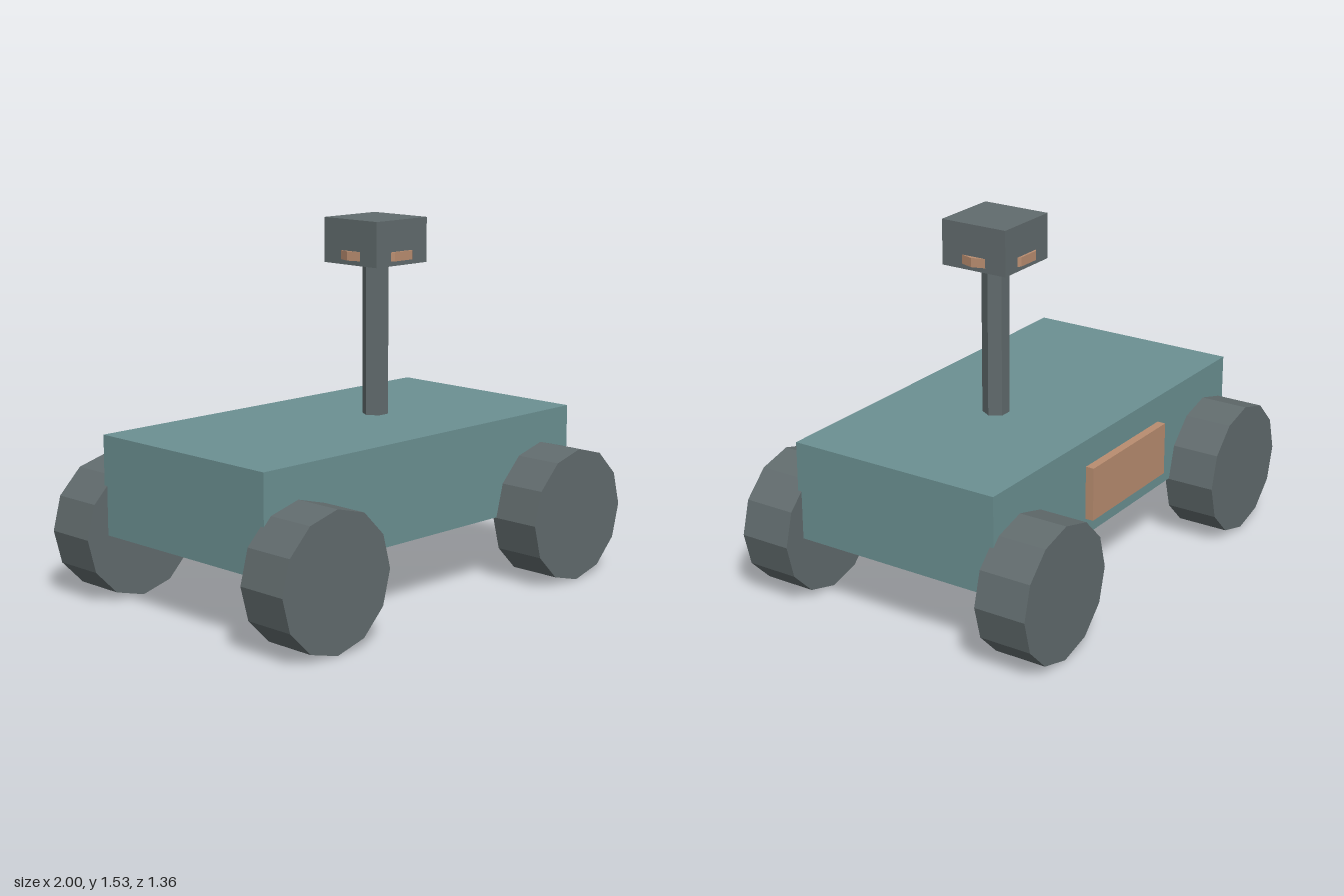
import * as THREE from 'three';

const material = (name, color) => {
  const m = new THREE.MeshStandardMaterial({ color, flatShading: true });
  m.name = name;
  return m;
};

export function createModel() {
  const rover = new THREE.Group();
  rover.name = 'rover';
  const teal = material('dusty teal', 0x6b9092);
  const grey = material('slate grey', 0x616b6d);
  const copper = material('copper', 0xb98d70);

  const add = (name, geometry, mat, x, y, z) => {
    const mesh = new THREE.Mesh(geometry, mat);
    mesh.name = name;
    mesh.position.set(x, y, z);
    rover.add(mesh);
    return mesh;
  };

  // Body block
  add('body', new THREE.BoxGeometry(1.79, 0.415, 0.942), teal, 0, 0.493, 0);

  // Twelve-sided wheels, overlapping the body slightly
  const wheel = new THREE.CylinderGeometry(0.283, 0.283, 0.225, 12).rotateX(Math.PI / 2);
  for (const [end, sx] of [['Left', 1], ['Right', -1]])
    for (const [side, sz] of [['front', 1], ['back', -1]])
      add(`${side}${end}Wheel`, wheel, grey, sx * 0.717, 0.283, sz * 0.567);

  // Six-sided mast with corners pointing along x
  const mastX = 0.188;
  add('mast', new THREE.CylinderGeometry(0.056, 0.056, 0.646, 6).rotateY(Math.PI / 2), grey, mastX, 1.022, 0);

  // Sensor head, with a ten-sided ring showing through each side
  add('head', new THREE.BoxGeometry(0.3, 0.188, 0.3), grey, mastX, 1.437, 0);
  add('sensorRing', new THREE.CylinderGeometry(0.168, 0.168, 0.038, 10).rotateY(Math.PI / 2), copper, mastX, 1.382, 0);

  // Panel standing just off the back
  add('backPanel', new THREE.BoxGeometry(0.565, 0.226, 0.036), copper, 0, 0.493, -0.512);

  return rover;
}
